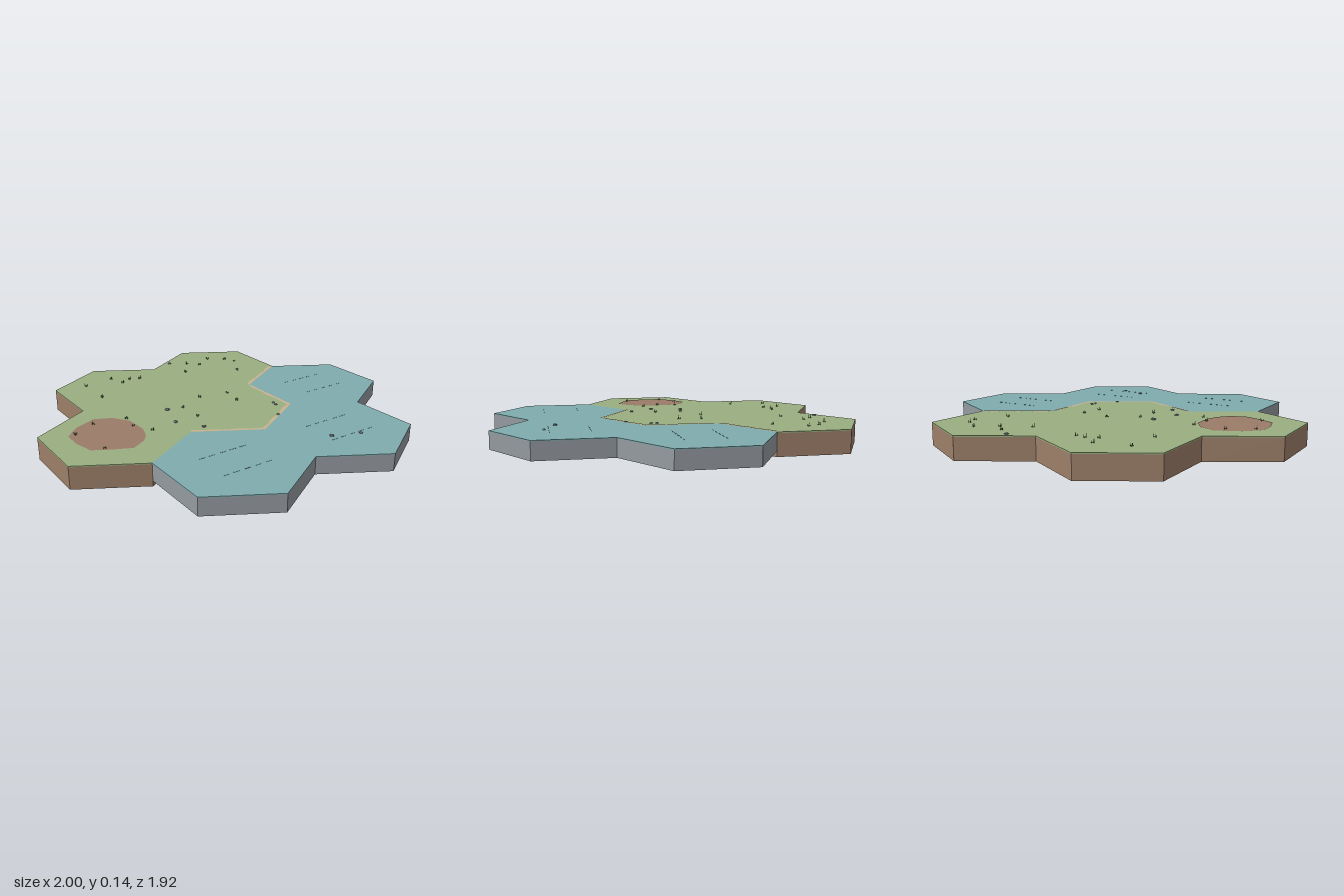
import * as THREE from 'three';

const R = 0.385, W = 0.3333, ROW = 0.5775, TOP = 0.122;

const mat = (name, color) => {
  const m = new THREE.MeshStandardMaterial({ color });
  m.name = name;
  return m;
};

// Faceted copy of a geometry
const faceted = (g) => {
  const f = g.index ? g.toNonIndexed() : g;
  f.computeVertexNormals();
  return f;
};

// Pointy hexagonal slab between two heights
const hexSlab = (y0, y1) =>
  faceted(new THREE.CylinderGeometry(R, R, y1 - y0, 6)).translate(0, (y0 + y1) / 2, 0);

// Flat plate from a list of [x, z] points
const plate = (points, y) => {
  const shape = new THREE.Shape(points.map(([x, z]) => new THREE.Vector2(x, -z)));
  return new THREE.ShapeGeometry(shape).rotateX(-Math.PI / 2).translate(0, y, 0);
};

export function createModel() {
  const model = new THREE.Group();
  const grass = mat('grass green', 0x9aae80);
  const water = mat('water teal', 0x7fabae);
  const soil = mat('soil brown', 0x9c7f69);
  const bed = mat('bed grey', 0x949a9f);
  const dirt = mat('dirt brown', 0x9a7b68);
  const sand = mat('sand', 0xc9b391);
  const stone = mat('stone grey', 0x737b86);
  const blade = mat('blade green', 0x5c7544);

  const add = (name, geometry, material, parent = model, x = 0, y = 0, z = 0) => {
    const mesh = new THREE.Mesh(geometry, material);
    mesh.name = name;
    mesh.position.set(x, y, z);
    parent.add(mesh);
    return mesh;
  };

  // Land tiles: soil block with a thin turf cap
  const soilGeo = hexSlab(0, 0.116), turfGeo = hexSlab(0.116, TOP);
  for (const [x, z] of [[0, 0], [-2 * W, 0], [-W, -ROW], [W, -ROW]]) {
    const tile = new THREE.Group();
    tile.name = 'landTile';
    tile.position.set(x, 0, z);
    add('soilBlock', soilGeo, soil, tile);
    add('turfCap', turfGeo, grass, tile);
    model.add(tile);
  }

  // Water tiles: shallower grey bed with a thin water cap and ripples
  const bedGeo = hexSlab(0.028, 0.117), waterGeo = hexSlab(0.117, TOP);
  const rippleGeo = new THREE.BoxGeometry(0.035, 0.001, 0.003);
  for (const [x, z] of [[2 * W, 0], [-W, ROW], [W, ROW]]) {
    const tile = new THREE.Group();
    tile.name = 'waterTile';
    tile.position.set(x, 0, z);
    add('bedBlock', bedGeo, bed, tile);
    add('waterCap', waterGeo, water, tile);
    for (const rz of [-0.1, 0.1])
      for (let i = -2; i <= 2; i++) add('ripple', rippleGeo, water, tile, i * 0.06, TOP + 0.0005, rz);
    model.add(tile);
  }

  // Sandy shore: uneven strips inside the land border
  const shore = [[0.66, -0.383], [W, -0.192], [W, 0.192], [0, R], [-W, 0.192]];
  const inset = [0.016, 0.022, 0.012, 0.02, 0.014, 0.024, 0.016];
  for (let s = 0; s < shore.length - 1; s++) {
    const a = new THREE.Vector2(...shore[s]), b = new THREE.Vector2(...shore[s + 1]);
    const d = b.clone().sub(a).normalize();
    const n = new THREE.Vector2(d.y, -d.x);
    // Turn the offset towards the land side
    const land = s === 0 ? new THREE.Vector2(W, -ROW) : new THREE.Vector2(0, 0);
    if (n.dot(land.sub(a)) < 0) n.negate();
    const inner = inset.map((w, i) => {
      const t = 0.02 + 0.96 * i / (inset.length - 1);
      const p = a.clone().lerp(b, t).addScaledVector(n, inset[(i + s * 2) % inset.length]);
      return [p.x, p.y];
    });
    add('shoreStrip', plate([[a.x, a.y], ...inner, [b.x, b.y]], TOP + 0.0015), sand);
  }

  // Bare dirt patch
  add('dirtPatch', plate([
    [-0.67, -0.24], [-0.58, -0.2], [-0.52, -0.11], [-0.515, 0.02], [-0.54, 0.1], [-0.58, 0.15],
    [-0.66, 0.195], [-0.76, 0.15], [-0.845, 0.1], [-0.87, -0.01], [-0.87, -0.11], [-0.79, -0.19],
  ], TOP + 0.0015), dirt);

  // Pebbles: x, z, radius
  const pebbleGeo = faceted(new THREE.IcosahedronGeometry(1, 0));
  [
    [-0.28, -0.13, 0.015], [-0.33, 0.04, 0.014], [-0.24, 0.175, 0.013], [0.265, 0.12, 0.01],
    [0.26, 0.15, 0.01], [0.18, 0.27, 0.01], [0.225, 0.64, 0.014], [0.37, 0.7, 0.011], [0.14, -0.81, 0.013],
  ].forEach(([x, z, r], i) => {
    const pebble = add('pebble', pebbleGeo, stone, model, x, TOP + r * 0.2, z);
    pebble.scale.set(r, r * 0.5, r * 0.85);
    pebble.rotation.y = i * 1.3;
  });

  // Grass tufts: three leaning blades each
  const bladeGeo = faceted(new THREE.ConeGeometry(0.0025, 0.018, 4)).translate(0, 0.009, 0);
  [
    [-0.49, -0.73], [-0.31, -0.76], [-0.22, -0.69], [-0.28, -0.66], [-0.16, -0.67], [-0.49, -0.51],
    [0.23, -0.74], [0.4, -0.75], [0.29, -0.68], [0.14, -0.61], [0.49, -0.68], [0.52, -0.61],
    [0.43, -0.45], [-0.7, -0.18], [-0.83, -0.11], [-0.52, -0.15], [-0.54, -0.04], [-0.48, 0.06],
    [-0.78, 0.12], [-0.19, -0.11], [-0.03, -0.19], [0.14, -0.15], [0.12, -0.03], [-0.19, 0.04],
  ].forEach(([x, z], i) => {
    const tuft = new THREE.Group();
    tuft.name = 'grassTuft';
    tuft.position.set(x, TOP, z);
    tuft.rotation.y = i * 0.9;
    for (let k = 0; k < 3; k++) {
      const angle = k * Math.PI * 2 / 3;
      const leaf = add('blade', bladeGeo, blade, tuft, Math.cos(angle) * 0.006, 0, Math.sin(angle) * 0.006);
      leaf.rotation.z = (k - 1) * 0.2;
      leaf.scale.y = 0.8 + 0.2 * k;
    }
    model.add(tuft);
  });

  return model;
}
